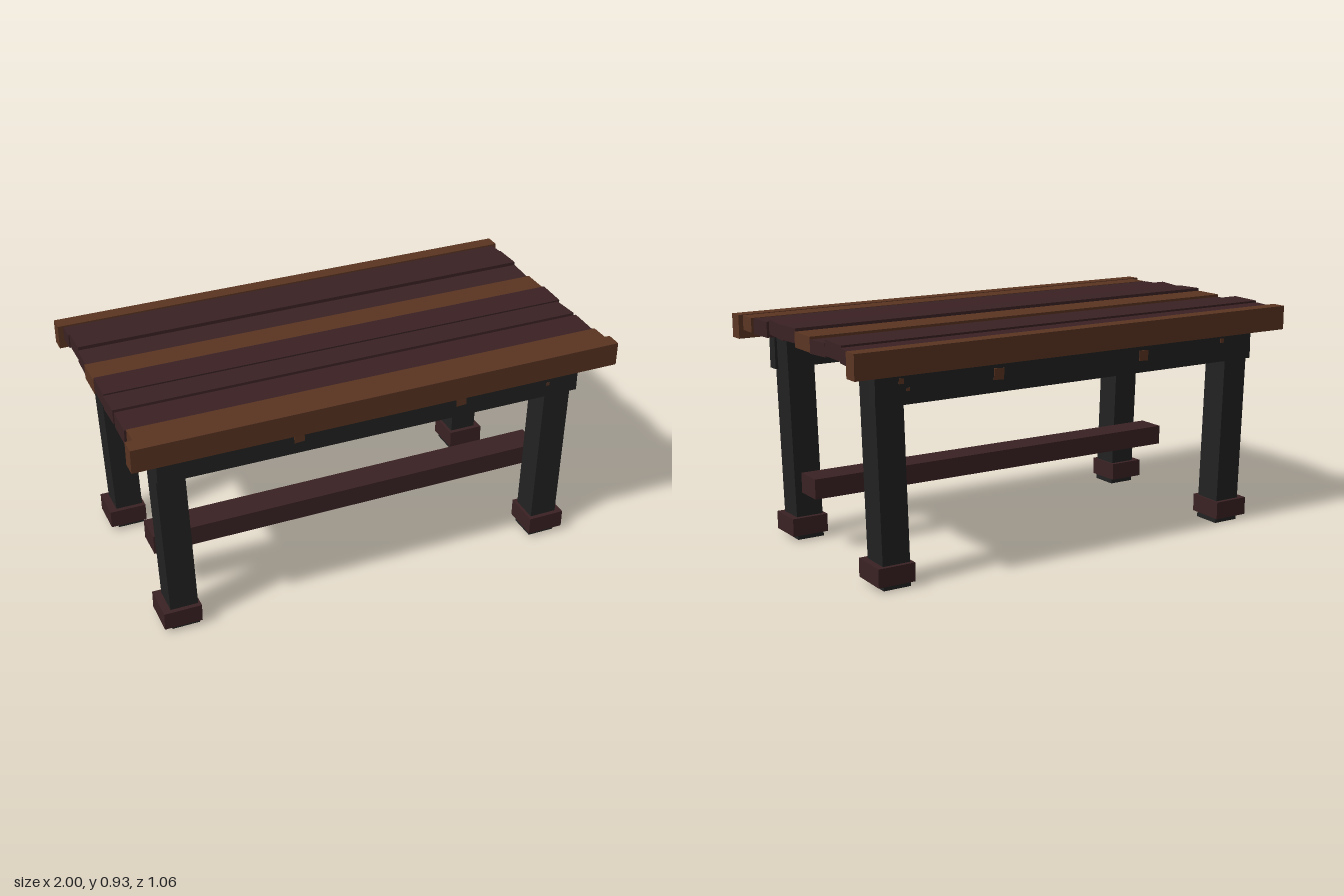
import * as THREE from 'three';

export function createModel() {
  const group = new THREE.Group();
  group.name = 'rusticTable';

  const make = (name, color) => {
    const m = new THREE.MeshStandardMaterial({ color });
    m.name = name;
    return m;
  };
  const brown = make('warm brown wood', 0x5b3522);
  const maroon = make('dark maroon wood', 0x3b2224);
  const black = make('charcoal wood', 0x222222);

  // Box given by its ranges; lean shifts the top in x, roll turns it about its long axis
  function beam(name, mat, [x0, x1], [y0, y1], [z0, z1], { lean = 0, roll = 0, yaw = 0, pitch = 0 } = {}) {
    const h = y1 - y0;
    const geo = new THREE.BoxGeometry(x1 - x0, h, z1 - z0);
    const p = geo.attributes.position;
    for (let i = 0; i < p.count; i++) p.setX(i, p.getX(i) + (lean * p.getY(i)) / h);
    geo.computeVertexNormals();
    const mesh = new THREE.Mesh(geo, mat);
    mesh.name = name;
    mesh.position.set((x0 + x1) / 2, (y0 + y1) / 2, (z0 + z1) / 2);
    mesh.rotation.set(roll, yaw, pitch);
    group.add(mesh);
    return mesh;
  }

  // Uneven top planks, front to back: material, x range, y range, z range, roll
  const planks = [
    [brown, [-0.97, 0.978], [0.866, 0.925], [0.385, 0.468], 0],
    [maroon, [-0.978, 0.968], [0.862, 0.925], [0.257, 0.385], -0.03],
    [maroon, [-0.983, 0.958], [0.874, 0.932], [0.128, 0.257], 0.06],
    [maroon, [-0.982, 0.965], [0.878, 0.936], [0.001, 0.128], -0.03],
    [brown, [-0.983, 0.968], [0.866, 0.926], [-0.13, 0.001], 0],
    [maroon, [-0.975, 0.968], [0.866, 0.919], [-0.257, -0.13], -0.05],
    [maroon, [-0.973, 0.968], [0.874, 0.934], [-0.386, -0.257], 0.02],
    [maroon, [-0.978, 0.972], [0.867, 0.923], [-0.469, -0.386], 0.05],
  ];
  for (const [mat, x, y, z, tilt] of planks) beam('topPlank', mat, x, y, z, { roll: -tilt });

  // Edge boards along the front and back
  beam('frontEdgeBoard', brown, [-1, 0.997], [0.831, 0.927], [0.466, 0.53], { roll: 0.02 });
  beam('backEdgeBoard', brown, [-1, 0.99], [0.829, 0.927], [-0.53, -0.468]);

  // Aprons under the top, with wooden pegs on the outer faces
  for (const s of [1, -1]) {
    const face = s * 0.455;
    const span = (a, b) => (s > 0 ? [a, b] : [-b, -a]);
    beam('apron', black, [-0.888, 0.872], [0.706, 0.864], span(0.405, 0.455), { pitch: -0.002 });
    const pegs = [
      [-0.33, 0.775, 0.042],
      [0.35, 0.775, 0.044],
      [-0.733, 0.795, 0.018],
      [0.765, 0.793, 0.02],
      [0.737, 0.76, 0.012],
    ];
    for (const [x, y, size] of pegs) {
      const h = size / 2;
      beam('peg', brown, [x - h, x + h], [y - h, y + h], [face - 0.003, face + 0.003], { pitch: 0.06 });
    }
  }

  // Leaning legs with block feet
  for (const s of [1, -1]) {
    const zLeg = s > 0 ? [0.31, 0.427] : [-0.432, -0.312];
    const zFoot = s > 0 ? [0.291, 0.445] : [-0.448, -0.292];
    beam('rightLeg', black, [-0.877, -0.764], [0.004, 0.87], zLeg, { lean: -0.03 });
    beam('leftLeg', black, [0.737, 0.852], [0.004, 0.87], zLeg, { lean: 0.024 });
    beam('rightFoot', maroon, [-0.897, -0.743], [0.026, 0.1], zFoot, { roll: s * 0.015 });
    beam('leftFoot', maroon, [0.715, 0.869], [0.026, 0.1], zFoot, { roll: s * 0.015 });
  }

  // Low stretcher set toward the front
  beam('stretcher', maroon, [-0.857, 0.857], [0.228, 0.31], [0.098, 0.222], { pitch: 0.002 });

  return group;
}
